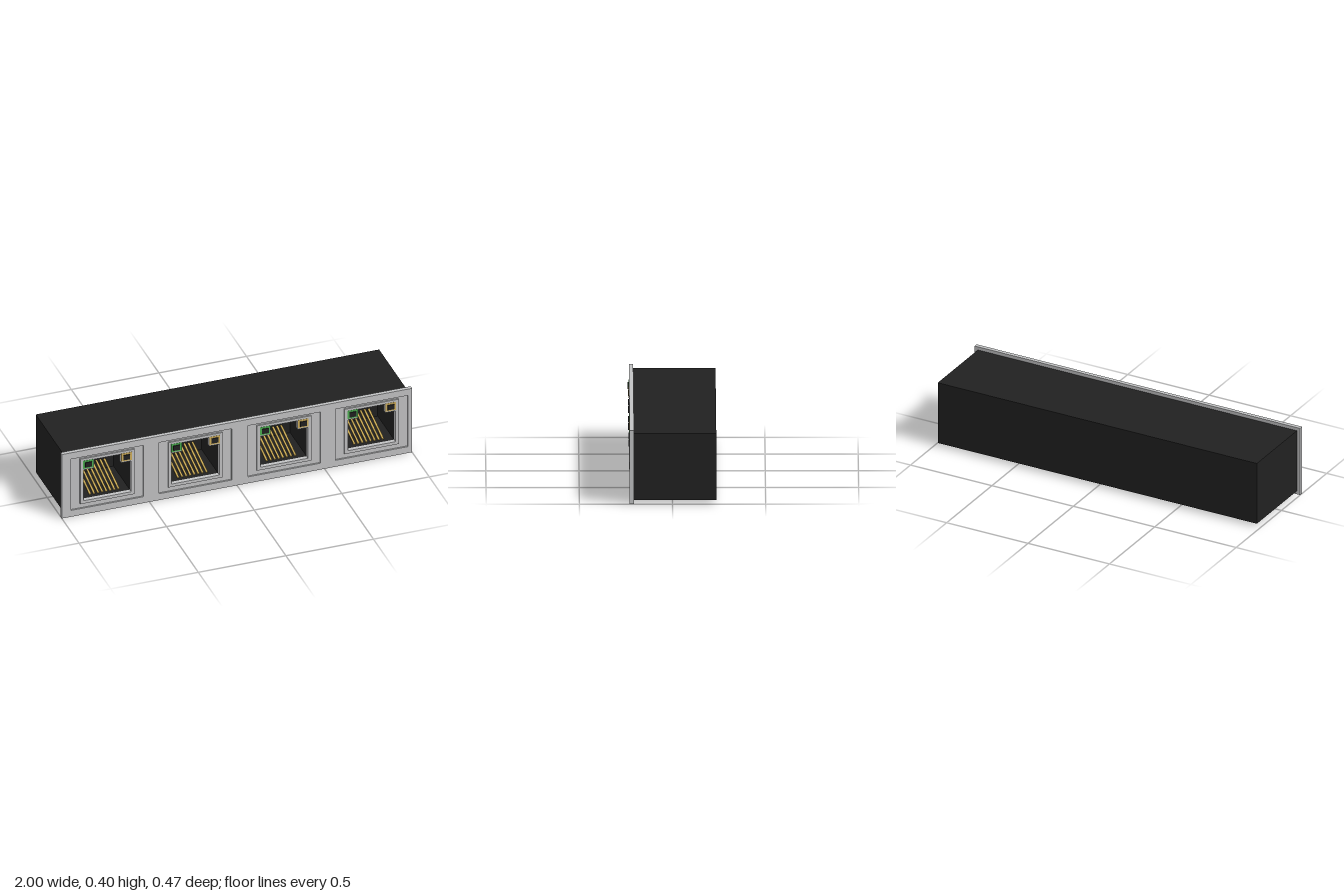
import * as THREE from 'three';

const material = (name, color) => {
  const m = new THREE.MeshStandardMaterial({ color });
  m.name = name;
  return m;
};

// Adds the corners of a rectangle to a shape or hole
const rect = (path, x0, x1, y0, y1) => {
  path.moveTo(x0, y0);
  path.lineTo(x1, y0);
  path.lineTo(x1, y1);
  path.lineTo(x0, y1);
  path.closePath();
  return path;
};

// Port opening with both upper corners notched for the lamps
const notchedOpening = (cx) => {
  const points = [
    [-0.136, 0.086], [0.136, 0.086], [0.136, 0.28], [0.077, 0.28],
    [0.077, 0.334], [-0.077, 0.334], [-0.077, 0.28], [-0.136, 0.28],
  ];
  return new THREE.Path(points.map(([x, y]) => new THREE.Vector2(cx + x, y)));
};

export function createModel() {
  const silver = material('silver shell', 0xc2c3c4);
  const black = material('black plastic', 0x212121);
  const green = material('green lamp', 0x4caf50);
  const amber = material('amber lamp', 0xcfae5c);
  const gold = material('gold contact', 0xc8a852);

  const model = new THREE.Group();
  model.name = 'fourPortSocketModule';
  const portCentres = [-0.74, -0.237, 0.269, 0.769];

  const add = (parent, name, geometry, mat) => {
    const mesh = new THREE.Mesh(geometry, mat);
    mesh.name = name;
    parent.add(mesh);
    return mesh;
  };
  // Extrudes an outline with holes between two depths
  const slab = (parent, name, box, holes, z0, z1, mat) => {
    const shape = rect(new THREE.Shape(), ...box);
    shape.holes.push(...holes);
    const geometry = new THREE.ExtrudeGeometry(shape, { depth: z1 - z0, bevelEnabled: false });
    geometry.translate(0, 0, z0);
    return add(model, name, geometry, mat);
  };

  // Housing: solid rear and a front part with four cavities
  const cavityBack = -0.05;
  const rear = add(model, 'housingRear',
    new THREE.BoxGeometry(1.96, 0.363, cavityBack + 0.235), black);
  rear.position.set(0, 0.2015, (cavityBack - 0.235) / 2);
  slab(model, 'housingFront', [-0.98, 0.98, 0.02, 0.383],
    portCentres.map((c) => rect(new THREE.Path(), c - 0.136, c + 0.136, 0.086, 0.334)),
    cavityBack, 0.207, black);

  // Face plate: pierced backing and a front layer with shallow recesses
  slab(model, 'facePlateBacking', [-1, 1, 0, 0.402],
    portCentres.map(notchedOpening), 0.207, 0.221, silver);
  slab(model, 'facePlateFront', [-1, 1, 0, 0.402],
    portCentres.map((c) => rect(new THREE.Path(), c - 0.207, c + 0.207, 0.04, 0.362)),
    0.221, 0.23, silver);

  portCentres.forEach((c) => {
    // Raised jack face inside the recess
    slab(model, 'jackFace', [c - 0.155, c + 0.155, 0.068, 0.35],
      [notchedOpening(c)], 0.221, 0.23, silver);

    const port = new THREE.Group();
    port.name = 'port';
    port.position.x = c;
    model.add(port);

    // Lamps with dark lenses, green on one side and amber on the other
    [[-1, green, 'greenLamp'], [1, amber, 'amberLamp']].forEach(([side, mat, name]) => {
      const x = side * 0.109;
      const frame = add(port, name, new THREE.BoxGeometry(0.06, 0.05, 0.002), mat);
      frame.position.set(x, 0.312, 0.2305);
      const lens = add(port, 'lampLens', new THREE.BoxGeometry(0.038, 0.03, 0.006), black);
      lens.position.set(x, 0.311, 0.2335);
    });

    // Eight spring contacts rising towards the back
    for (let i = 0; i < 8; i++) {
      const contact = add(port, 'springContact', new THREE.BoxGeometry(0.011, 0.006, 0.235), gold);
      contact.position.set((i - 3.5) * 0.0232, 0.118, 0.07);
      contact.rotation.x = Math.atan2(0.06, 0.23);
    }
  });

  return model;
}
